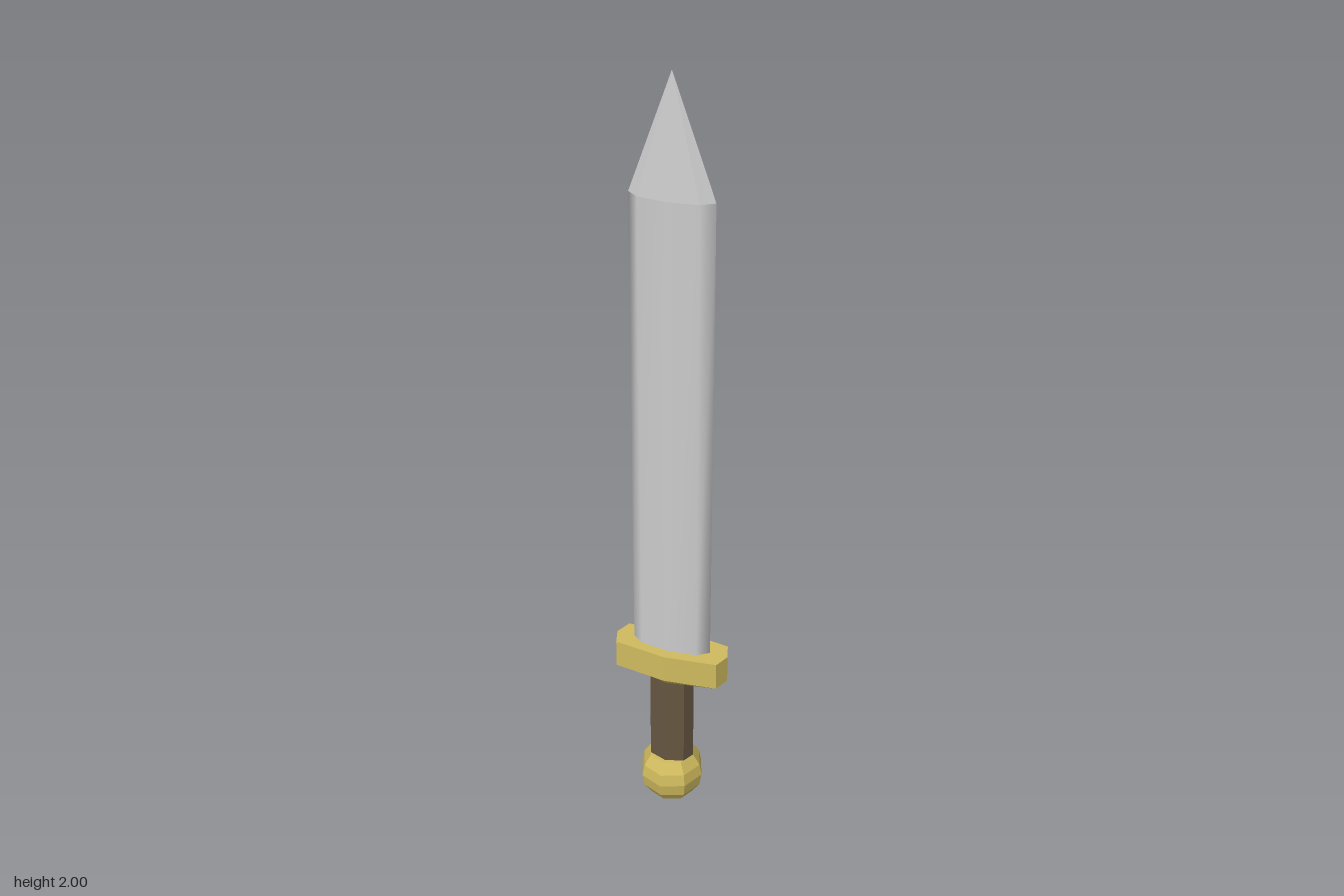
import * as THREE from 'three';

// Eight-sided outline from its side point, diagonal point and front point.
function octagon(side, dx, dz, front) {
  return [[side, 0], [dx, dz], [0, front], [-dx, dz], [-side, 0], [-dx, -dz], [0, -front], [dx, -dz]];
}

// Skin a stack of levels [y, outline, scale]; a scale of 0 closes to a point.
function loft(levels) {
  const positions = [], index = [], n = 8;
  for (const [y, outline, s = 1] of levels) {
    for (const [x, z] of outline) positions.push(x * s, y, z * s);
  }
  for (let k = 0; k < levels.length - 1; k++) {
    for (let i = 0; i < n; i++) {
      const a = k * n + i, b = k * n + (i + 1) % n, c = a + n, d = b + n;
      if (levels[k][2] !== 0) index.push(a, c, b);
      if (levels[k + 1][2] !== 0) index.push(b, c, d);
    }
  }
  const geometry = new THREE.BufferGeometry();
  geometry.setAttribute('position', new THREE.Float32BufferAttribute(positions, 3));
  geometry.setIndex(index);
  geometry.computeVertexNormals();
  return geometry;
}

export function createModel() {
  const sword = new THREE.Group();
  sword.name = 'sword';

  const steelSmooth = new THREE.MeshStandardMaterial({ color: 0xcccccc });
  const steelFlat = new THREE.MeshStandardMaterial({ color: 0xcccccc, flatShading: true });
  const gold = new THREE.MeshStandardMaterial({ color: 0xd0bb5e, flatShading: true });
  const leather = new THREE.MeshStandardMaterial({ color: 0x665640, flatShading: true });

  const add = (name, levels, material, parent = sword) => {
    const mesh = new THREE.Mesh(loft(levels), material);
    mesh.name = name;
    parent.add(mesh);
  };

  const bladeOutline = octagon(0.105, 0.075, 0.023, 0.033);
  const guardOutline = octagon(0.153, 0.138, 0.043, 0.061);
  const gripOutline = octagon(0.061, 0.047, 0.033, 0.049);
  const round = octagon(1, Math.SQRT1_2, Math.SQRT1_2, 1);

  // Blade: smooth body and faceted point
  const blade = new THREE.Group();
  blade.name = 'blade';
  sword.add(blade);
  add('bladeBody', [[0.49, bladeOutline], [1.715, bladeOutline]], steelSmooth, blade);
  add('bladeTip', [[1.715, bladeOutline], [2, bladeOutline, 0]], steelFlat, blade);

  // Crossguard, tapering underneath into the grip
  add('guard', [
    [0.41, gripOutline, 0], [0.41, gripOutline], [0.425, guardOutline],
    [0.5, guardOutline], [0.5, guardOutline, 0],
  ], gold);

  add('grip', [[0.14, gripOutline], [0.415, gripOutline]], leather);

  // Pommel ball with a flattened top: [y, radius]
  const pommel = [[0, 0], [0.007, 0.035], [0.027, 0.061], [0.055, 0.08], [0.09, 0.086],
    [0.122, 0.08], [0.152, 0.061], [0.152, 0]];
  add('pommel', pommel.map(([y, r]) => [y, round, r]), gold);

  return sword;
}
